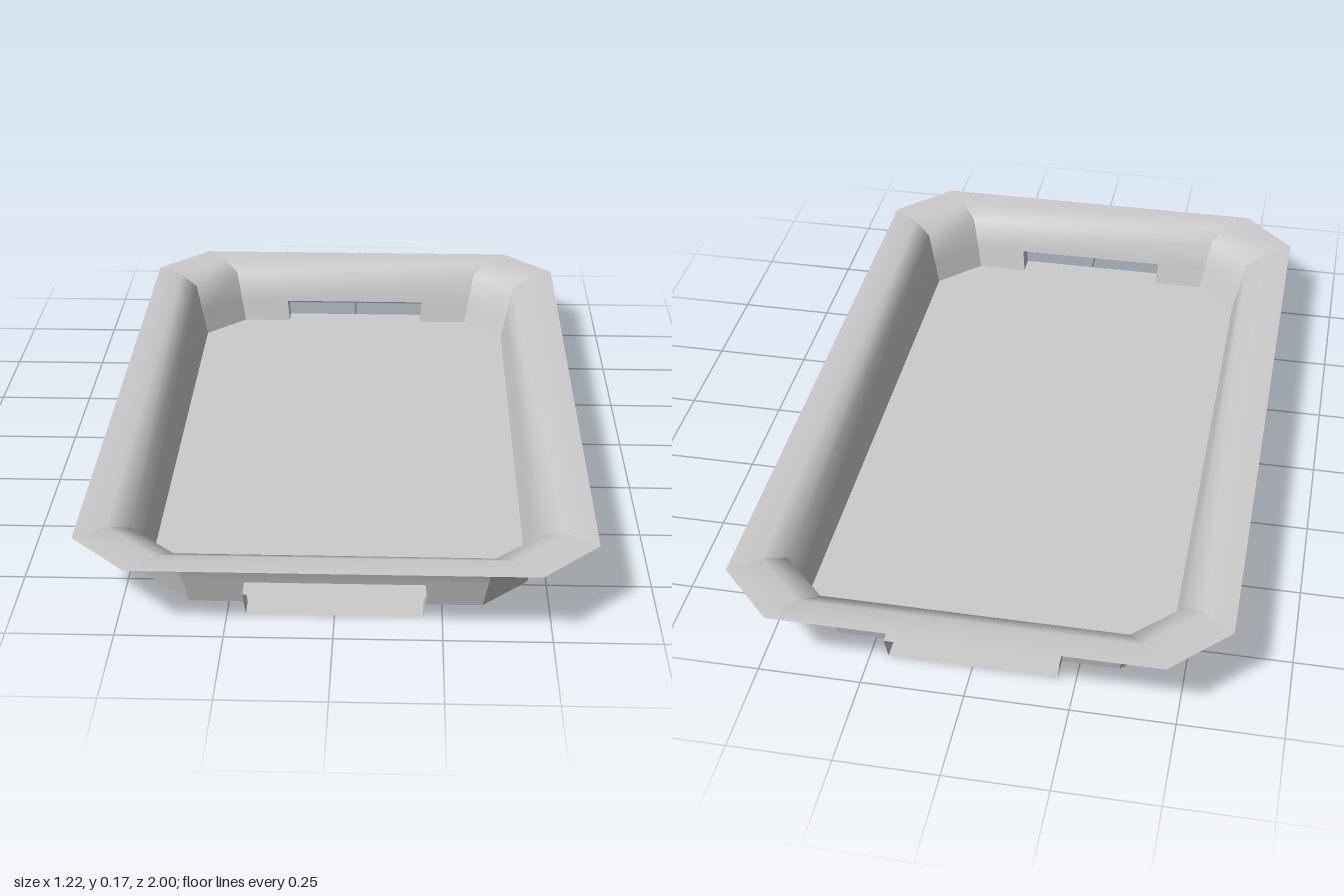
import * as THREE from 'three';

const material = new THREE.MeshStandardMaterial({ color: 0xcccccc, side: THREE.DoubleSide });

// Flare profile: [outward fraction, height] from floor edge to rim edge
const PROFILE = [[0, 0], [0.087, 0.06], [0.21, 0.146], [0.53, 0.169], [1, 0.17]];
const SLOT_BOTTOM = 0.206, SLOT_TOP = 0.212, SLOT_DEPTH = 0.055;

// Chamfered rectangle at one level of the profile, front corner first
function ring([t, y]) {
  const px = 0.345 + 0.125 * t, pz = 0.845 + 0.155 * t;
  const qx = 0.455 + 0.155 * t, qz = 0.735 + 0.12 * t;
  return [[px, pz], [qx, qz], [qx, -qz], [px, -pz], [-px, -pz], [-qx, -qz], [-qx, qz], [-px, pz]]
    .map(([x, z]) => new THREE.Vector3(x, y, z));
}

// Smooth strip joining two polylines of equal length
function strip(a, b) {
  const geo = new THREE.BufferGeometry();
  const points = [], index = [];
  a.forEach((p, i) => {
    points.push(p, b[i]);
    if (i > 0) {
      const k = 2 * i;
      index.push(k - 2, k - 1, k + 1, k - 2, k + 1, k);
    }
  });
  geo.setFromPoints(points);
  geo.setIndex(index);
  geo.computeVertexNormals();
  return geo;
}

export function createModel() {
  const model = new THREE.Group();
  const add = (name, geo, parent = model) => {
    const mesh = new THREE.Mesh(geo, material);
    mesh.name = name;
    parent.add(mesh);
    return mesh;
  };

  const rings = PROFILE.map(ring);
  const [zBottom, zTop] = [rings[0][0].z, rings[1][0].z];

  // Floor, with a tab running out through each end slot
  const half = [[0.455, -0.735], [0.455, 0.735], [0.345, zBottom], [SLOT_BOTTOM, zBottom], [SLOT_BOTTOM, zBottom + SLOT_DEPTH]];
  const outline = [...half.slice(1), ...half.slice(1).reverse().map(([x, z]) => [-x, z])];
  const full = [...outline, ...outline.map(([x, z]) => [-x, -z])];
  const floor = new THREE.ShapeGeometry(new THREE.Shape(full.map(([x, z]) => new THREE.Vector2(x, z))));
  add('floor', floor.rotateX(Math.PI / 2));

  // Flared side and corner walls with their rim; the ends start above the slot
  for (let i = 0; i < 8; i++) {
    const j = (i + 1) % 8, isEnd = i === 3 || i === 7;
    const levels = isEnd ? rings.slice(1) : rings;
    // Lower point first along the panel, so faces look outward
    const name = isEnd ? 'endWall' : i % 4 === 1 ? 'sideWall' : 'cornerWall';
    add(name, strip(levels.map(r => r[j]), levels.map(r => r[i])).scale(1, 1, 1));
  }

  // Handle slots: wall pieces beside each opening and an open-ended sleeve
  for (const turn of [0, Math.PI]) {
    const handle = new THREE.Group();
    handle.name = 'handleSlot';
    handle.rotation.y = turn;
    model.add(handle);
    const v = (x, y, z) => new THREE.Vector3(x, y, z);
    const opening = s => [v(s * SLOT_BOTTOM, 0, zBottom), v(s * SLOT_TOP, 0.06, zTop)];
    const outward = points => points.map(p => p.clone().setZ(p.z + SLOT_DEPTH));
    const left = opening(1), right = opening(-1);
    add('lowerWallLeft', strip([rings[0][0], rings[1][0]], left), handle);
    add('lowerWallRight', strip(right, [rings[0][7], rings[1][7]]), handle);
    add('sleeveLeft', strip(outward(left), left), handle);
    add('sleeveRight', strip(right, outward(right)), handle);
    const top = [right[1], left[1]];
    add('sleeveTop', strip(top, outward(top)), handle);
  }
  return model;
}
